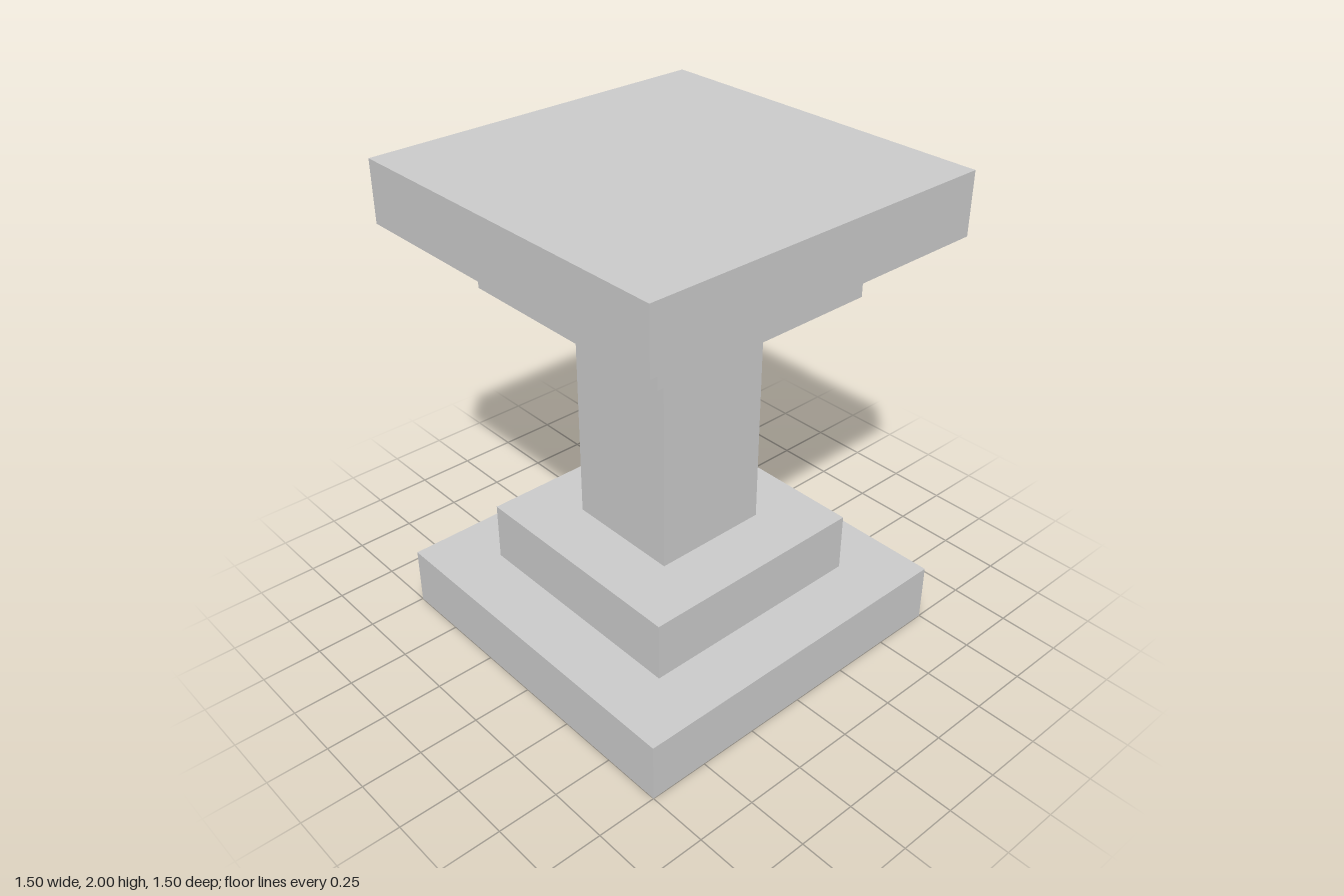
import * as THREE from 'three';

// Stepped square pedestal: [name, width, bottom, top]
const TIERS = [
  ['basePlinth', 1.5, 0, 0.25],
  ['baseStep', 1, 0.25, 0.5],
  ['shaft', 0.5, 0.5, 1.5],
  ['capitalStep', 1, 1.5, 1.75],
  ['topSlab', 1.5, 1.75, 2],
];

export function createModel() {
  const model = new THREE.Group();
  model.name = 'pedestal';
  const material = new THREE.MeshStandardMaterial({ color: 0xcccccc, flatShading: true });

  // Stack one square block per tier
  for (const [name, width, bottom, top] of TIERS) {
    const block = new THREE.Mesh(new THREE.BoxGeometry(width, top - bottom, width), material);
    block.name = name;
    block.position.y = (bottom + top) / 2;
    model.add(block);
  }
  return model;
}
